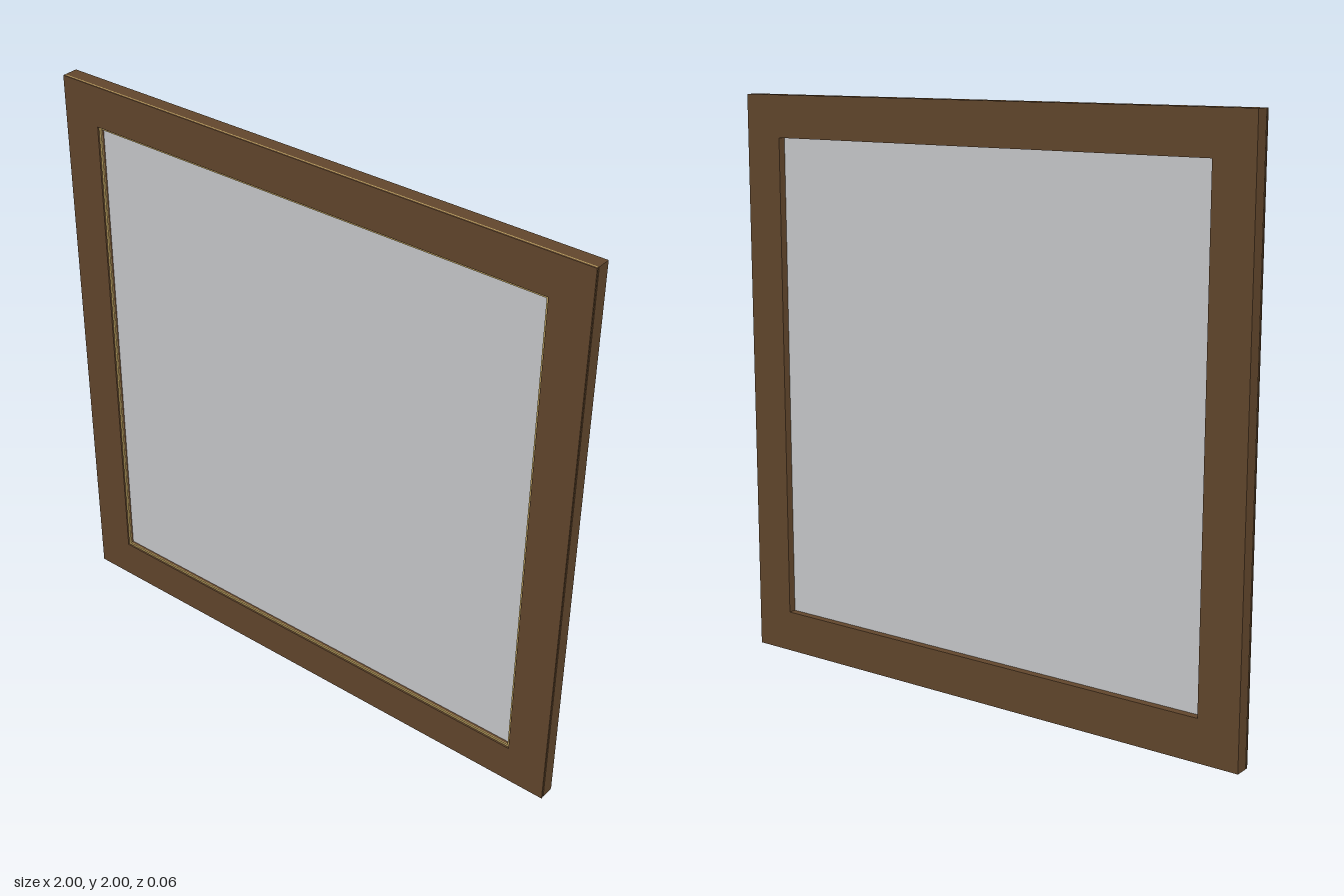
import * as THREE from 'three';

const material = (name, color) => {
  const m = new THREE.MeshStandardMaterial({ color });
  m.name = name;
  return m;
};

export function createModel() {
  const wood = material('brown wood', 0x61462c);
  const gold = material('pale gold trim', 0xb0965a);
  const pane = material('grey pane', 0xc8c9cb);
  const group = new THREE.Group();
  group.name = 'framedPane';

  const add = (name, geometry, mat, x, y, z) => {
    const mesh = new THREE.Mesh(geometry, mat);
    mesh.name = name;
    mesh.position.set(x, y, z);
    group.add(mesh);
  };
  const box = (name, mat, w, h, d, x, y, z) =>
    add(name, new THREE.BoxGeometry(w, h, d), mat, x, y, z);

  // Flat rectangular ring, its back face at z
  const ring = (name, mat, outerX, outerY, inner, depth, z) => {
    const rect = (C, a, b) => new C([[-a, -b], [a, -b], [a, b], [-a, b]].map(p => new THREE.Vector2(...p)));
    const shape = rect(THREE.Shape, outerX, outerY);
    shape.holes.push(rect(THREE.Path, inner, inner));
    add(name, new THREE.ExtrudeGeometry(shape, { depth, bevelEnabled: false }), mat, 0, 1, z);
  };

  // Back boards: full-height stiles with rails butted between them
  for (const s of [-1, 1]) {
    box(s > 0 ? 'leftStile' : 'rightStile', wood, 0.146, 2, 0.048, s * 0.927, 1, -0.006);
    box(s > 0 ? 'topRail' : 'bottomRail', wood, 1.708, 0.146, 0.048, 0, 1 + s * 0.927, -0.006);
  }

  // Thin inner lip between the boards and the front facing
  ring('innerTrim', gold, 0.998, 1, 0.851, 0.004, 0.018);
  ring('frontFacing', wood, 1, 1, 0.859, 0.006, 0.022);

  // Recessed sheet
  box('pane', pane, 1.71, 1.71, 0.01, 0, 1, 0.002);

  return group;
}
